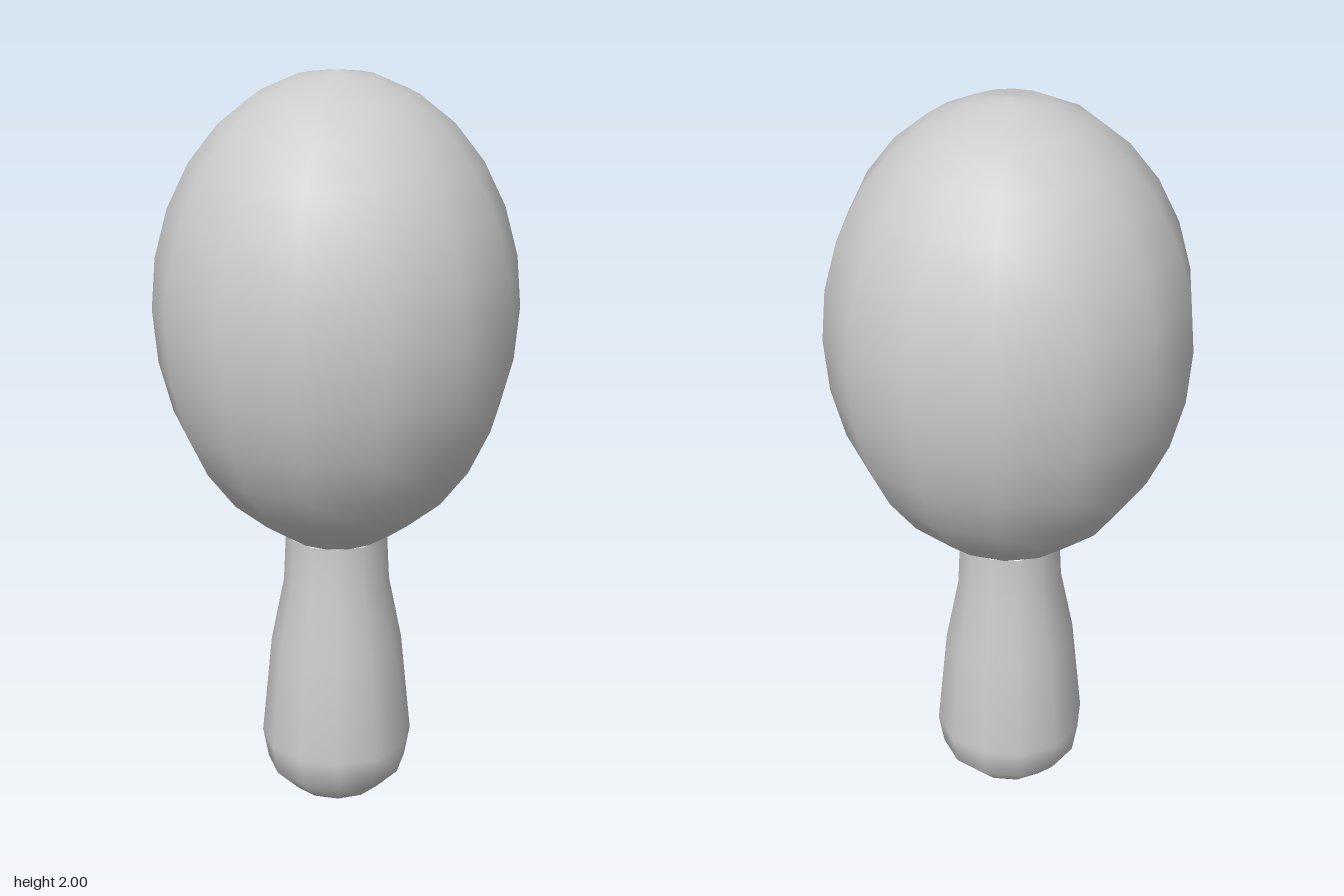
import * as THREE from 'three';

const material = new THREE.MeshStandardMaterial({ color: 0xcccccc });

// Smooth turned part from a [radius, height] profile, listed from bottom to top
function turned(name, profile, sides) {
  const points = profile.map(([r, y]) => new THREE.Vector2(r, y));
  const geometry = new THREE.LatheGeometry(points, sides);
  geometry.rotateY(Math.PI / 2); // put a corner on the x axis
  const mesh = new THREE.Mesh(geometry, material);
  mesh.name = name;
  return mesh;
}

export function createModel() {
  const group = new THREE.Group();
  group.name = 'maraca';

  // Egg-shaped head: half an ellipse, a little longer below its widest ring
  const headProfile = [[0, 0.785], [0.132, 0.785]];
  const rings = 14;
  for (let i = rings - 2; i >= 0; i--) {
    const a = (i / rings) * Math.PI;
    const height = Math.cos(a) > 0 ? 0.6 : 0.63;
    headProfile.push([i === 0 ? 0 : 0.47 * Math.sin(a), 1.4 + height * Math.cos(a)]);
  }
  group.add(turned('head', headProfile.slice(1), 14));

  // Handle flaring from the neck to a rounded butt
  group.add(turned('handle', [
    [0, 0], [0.128, 0.035], [0.19, 0.1], [0.205, 0.185],
    [0.177, 0.468], [0.142, 0.645], [0.135, 0.785],
  ], 12));

  return group;
}
